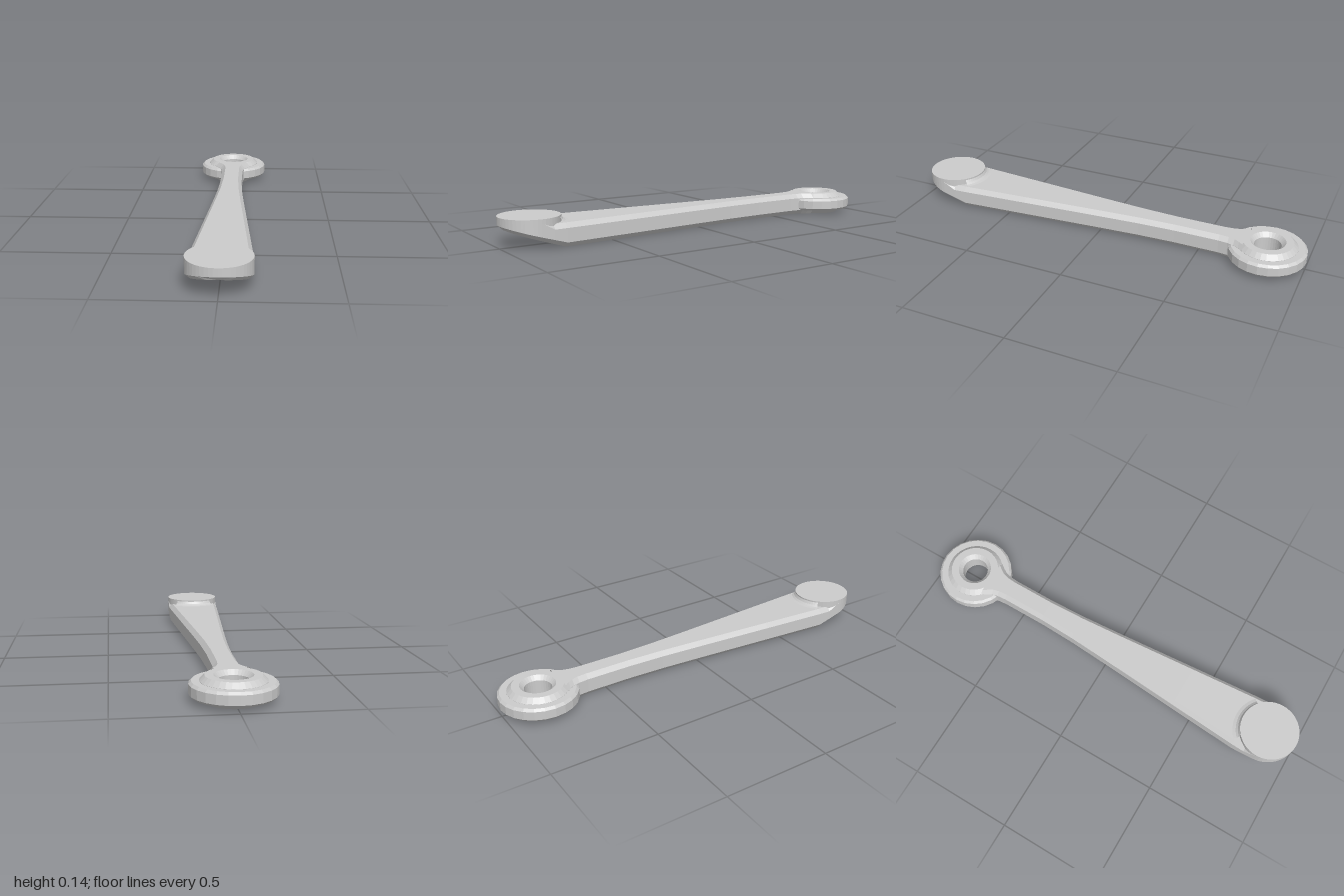
import * as THREE from 'three';

const EYE_Z = -0.82, PAD_Z = 0.86, PAD_R = 0.14, TOP = 0.108, BEVEL = 0.022;

const material = new THREE.MeshStandardMaterial({ color: 0xcccccc, flatShading: true, side: THREE.DoubleSide });

function addMesh(group, name, geometry, z = 0) {
  const mesh = new THREE.Mesh(geometry, material);
  mesh.name = name;
  mesh.position.z = z;
  group.add(mesh);
  return mesh;
}

function lathe(points, segments, start = 0, length = Math.PI * 2) {
  return new THREE.LatheGeometry(points.map(([r, y]) => new THREE.Vector2(r, y)), segments, start, length);
}

const { clamp, lerp } = THREE.MathUtils;

// Half width of the arm along z: flared neck, slim shank, widening to the round pad
const WIDTHS = [[-0.72, 0.1], [-0.7, 0.085], [-0.675, 0.07], [-0.645, 0.062], [-0.6, 0.058],
  [-0.38, 0.058], [-0.2, 0.065], [0, 0.079], [0.4, 0.11], [0.74, 0.136], [0.8, 0.139], [PAD_Z, PAD_R]];

// Chamfered cross-section, counter-clockwise seen from the front
function section(z, w) {
  const past = Math.max(0, z - 0.74);
  const head = clamp((z - 0.8) / 0.06, 0, 1);
  const innerR = PAD_R - BEVEL + 0.002;
  const bottomW = z > PAD_Z
    ? Math.sqrt(Math.max(0, innerR ** 2 - (z - PAD_Z) ** 2))
    : w - BEVEL + 0.002;
  const bottomY = z > 0.98 ? 0.08 + (z - 0.98) : past / 3;
  const lowY = 0.022 + past * 0.3;
  const highY = lerp(TOP - BEVEL, 0.12, head);
  const topY = lerp(TOP, 0.12, head);
  const topW = w - lerp(BEVEL - 0.003, 0, head);
  const half = [[bottomW, bottomY], [w, lowY], [w, highY], [topW, topY]];
  return [...half, ...half.map(([x, y]) => [-x, y]).reverse()].map(([x, y]) => [x, y, z]);
}

function armGeometry() {
  const stations = WIDTHS.map(([z, w]) => section(z, w));
  // Rounded front end follows the pad's circle
  for (let i = 1; i <= 12; i++) {
    const t = (i / 12) * Math.PI / 2;
    stations.push(section(PAD_Z + PAD_R * Math.sin(t), PAD_R * Math.cos(t)));
  }
  const n = stations[0].length, index = [];
  for (let i = 0; i < stations.length - 1; i++) {
    for (let j = 0; j < n; j++) {
      const k = (j + 1) % n;
      const a = i * n + j, b = i * n + k, c = b + n, d = a + n;
      index.push(a, b, c, a, c, d);
    }
  }
  const geometry = new THREE.BufferGeometry();
  geometry.setAttribute('position', new THREE.Float32BufferAttribute(stations.flat(2), 3));
  geometry.setIndex(index);
  const flat = geometry.toNonIndexed();
  flat.computeVertexNormals();
  return flat;
}

export function createModel() {
  const group = new THREE.Group();
  group.name = 'leverArm';

  addMesh(group, 'arm', armGeometry());

  // Chamfered eye with a countersunk through hole
  addMesh(group, 'eye', lathe([
    [0.082, 0], [0.118, 0], [0.14, BEVEL], [0.14, TOP - BEVEL], [0.118, TOP],
    [0.082, TOP], [0.063, TOP - 0.02], [0.063, 0.02], [0.082, 0],
  ], 32), EYE_Z);

  // Wider collar around the eye
  addMesh(group, 'collar', lathe([
    [0.13, 0.022], [0.172, 0.022], [0.183, 0.033], [0.183, 0.074], [0.172, 0.085], [0.13, 0.085],
  ], 24), EYE_Z);

  // Raised round pad at the front end
  const pad = addMesh(group, 'pad', new THREE.CylinderGeometry(PAD_R, PAD_R, 0.037, 48), PAD_Z);
  pad.position.y = 0.1185;

  // Small fillet where the back of the pad meets the arm
  addMesh(group, 'padFillet', lathe([
    [0.172, TOP], [0.157, 0.111], [0.147, 0.118], [0.14, 0.13],
  ], 16, Math.PI - 0.72, 1.44), PAD_Z);

  return group;
}
